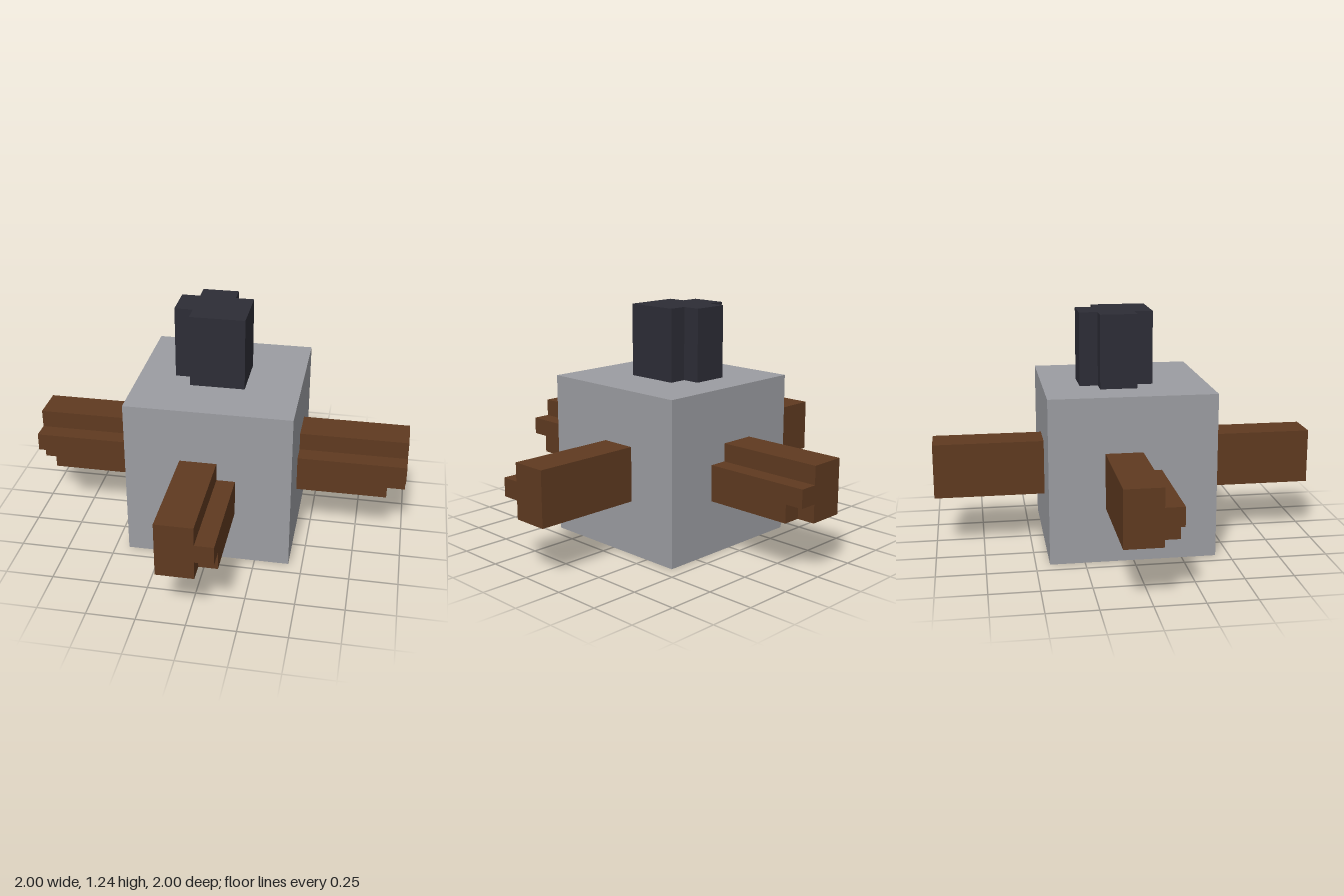
import * as THREE from 'three';

const U = 2 / 21; // one block

const stone = new THREE.MeshStandardMaterial({ name: 'stone grey', color: 0x9c9da2 });
const wood = new THREE.MeshStandardMaterial({ name: 'wood brown', color: 0x5f3a20 });
const coal = new THREE.MeshStandardMaterial({ name: 'coal black', color: 0x2d2d36 });

// Prism in block units: outline in x/y, running along z from z0 to z0 + depth
function prism(name, outline, z0, depth, material) {
  const shape = new THREE.Shape(outline.map(([x, y]) => new THREE.Vector2(x * U, y * U)));
  const geometry = new THREE.ExtrudeGeometry(shape, { depth: depth * U, bevelEnabled: false });
  geometry.translate(0, 0, z0 * U);
  const mesh = new THREE.Mesh(geometry, material);
  mesh.name = name;
  return mesh;
}

// Stepped beam section, and its end section with the lower corner block missing
const beamOutline = [[-1.5, 3], [1.5, 3], [1.5, 5], [0.5, 5], [0.5, 6], [-1.5, 6]];
const tipOutline = [[-1.5, 3], [0.5, 3], [0.5, 4], [1.5, 4], [1.5, 5], [0.5, 5], [0.5, 6], [-1.5, 6]];

// Two opposite beams along z
function beamPair(name) {
  const pair = new THREE.Group();
  pair.name = name;
  for (const side of [1, -1]) {
    pair.add(prism('beam', beamOutline, side > 0 ? 4.5 : -9.5, 5, wood));
    pair.add(prism('beamTip', tipOutline, side > 0 ? 9.5 : -10.5, 1, wood));
  }
  return pair;
}

export function createModel() {
  const model = new THREE.Group();
  model.name = 'blockWithBeams';

  // Cube body
  const body = new THREE.Mesh(new THREE.BoxGeometry(9 * U, 9 * U, 9 * U), stone);
  body.name = 'body';
  body.position.y = 4.5 * U;
  model.add(body);

  // Beams to the front and back, then the same pair turned to the sides
  model.add(beamPair('frontBackBeams'));
  const sideBeams = beamPair('sideBeams');
  sideBeams.rotation.y = -Math.PI / 2;
  model.add(sideBeams);

  // Post on top; its outline is drawn as x, -z and stood upright
  const post = prism('topPost', [
    [-1.5, -1.5], [1.5, -1.5], [1.5, 1.5], [0.5, 1.5], [0.5, 2.5],
    [-1.5, 2.5], [-1.5, 1.5], [-2.5, 1.5], [-2.5, -0.5], [-1.5, -0.5],
  ], 9, 4, coal);
  post.rotation.x = -Math.PI / 2;
  model.add(post);

  return model;
}
